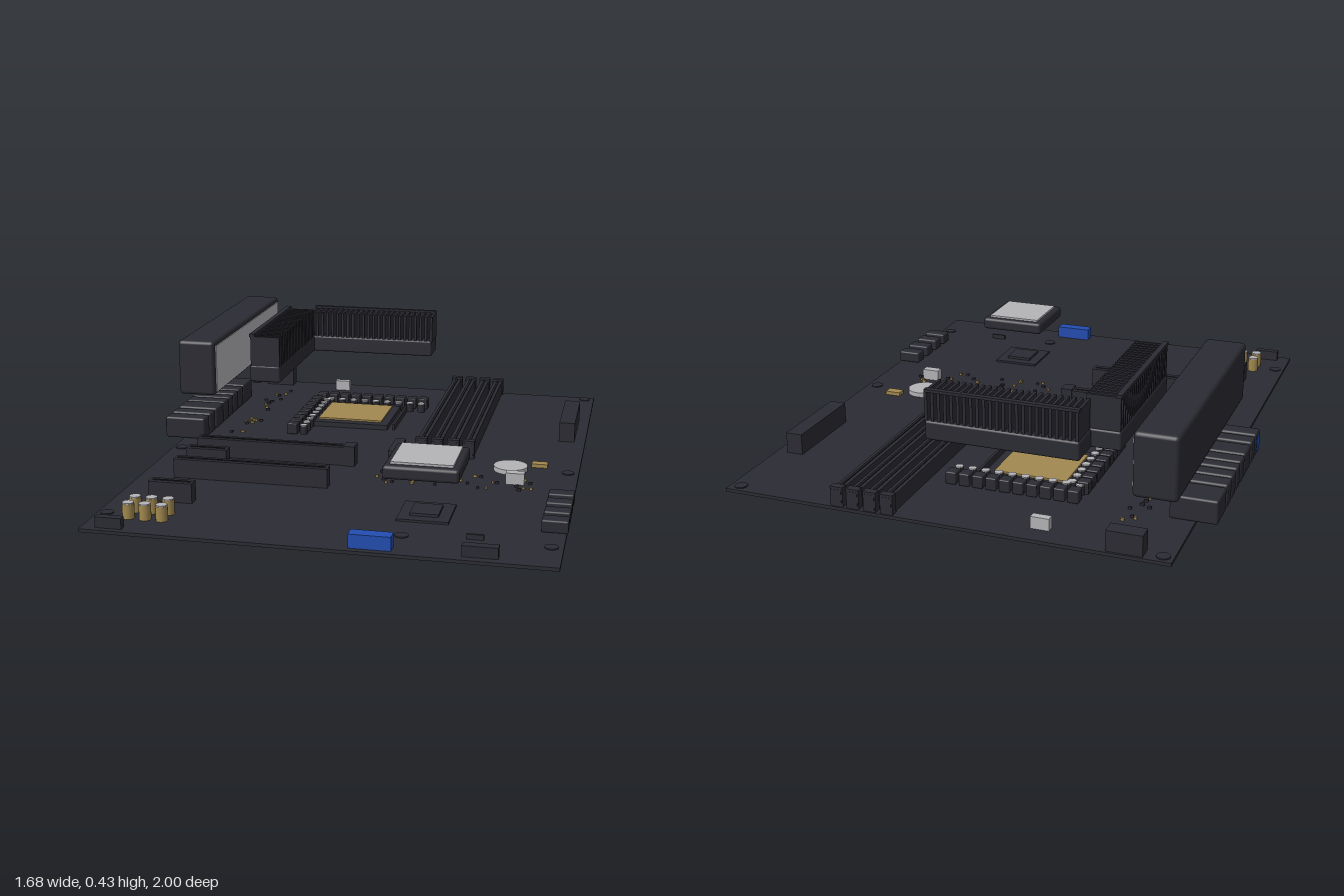
import * as THREE from 'three';
import { RoundedBoxGeometry } from 'three/addons/geometries/RoundedBoxGeometry.js';

const mat = (name, color) => Object.assign(new THREE.MeshStandardMaterial({ color }), { name });

export function createModel() {
  const root = new THREE.Group();
  root.name = 'mainboard';
  const graphite = mat('graphite', 0x2b2b33);
  const black = mat('black', 0x1c1c21);
  const silver = mat('silver', 0xb4b4b8);
  const gold = mat('gold', 0xa1884f);
  const blue = mat('blue', 0x234db0);
  const TOP = 0.012; // board surface

  const group = (name) => {
    const g = new THREE.Group();
    g.name = name;
    root.add(g);
    return g;
  };
  // Box given by its limits on each axis; r rounds the edges
  const box = (parent, name, m, [x0, x1], [y0, y1], [z0, z1], r = 0) => {
    const s = [x1 - x0, y1 - y0, z1 - z0];
    const geo = r ? new RoundedBoxGeometry(...s, 2, r) : new THREE.BoxGeometry(...s);
    const mesh = new THREE.Mesh(geo, m);
    mesh.name = name;
    mesh.position.set((x0 + x1) / 2, (y0 + y1) / 2, (z0 + z1) / 2);
    parent.add(mesh);
    return mesh;
  };
  const disc = (parent, name, m, x, z, r, y0, y1, sides = 20) => {
    const mesh = new THREE.Mesh(new THREE.CylinderGeometry(r, r, y1 - y0, sides), m);
    mesh.name = name;
    mesh.position.set(x, (y0 + y1) / 2, z);
    parent.add(mesh);
    return mesh;
  };

  // Circuit board and its mounting points
  box(root, 'circuitBoard', graphite, [-0.765, 0.83], [0, TOP], [-1, 1]);
  const mounts = group('mountingPoints');
  for (const [x, z] of [[-0.73, -0.965], [0.79, -0.965], [-0.73, 0.08], [0.3, 0.08],
    [0.79, 0.08], [-0.73, 0.835], [0.3, 0.835], [0.79, 0.835]])
    disc(mounts, 'mountingPoint', graphite, x, z, 0.023, TOP, TOP + 0.004);

  // Floating cover over the rear ports, with a pale inner face
  const cover = group('portCover');
  box(cover, 'coverShell', graphite, [-0.77, -0.622], [0.2, 0.42], [-0.967, -0.027], 0.014);
  box(cover, 'coverInnerFace', silver, [-0.625, -0.618], [0.212, 0.4], [-0.947, -0.047]);

  // Rear ports
  const ports = group('rearPorts');
  const portZ = [[-0.7, -0.58], [-0.565, -0.5], [-0.49, -0.435], [-0.42, -0.37],
    [-0.36, -0.3], [-0.29, -0.2], [-0.18, -0.12], [-0.105, -0.04]];
  for (const z of portZ) box(ports, 'rearPort', graphite, [-0.84, -0.675], [TOP, 0.098], z, 0.008);
  box(ports, 'bluePortFace', blue, [-0.842, -0.838], [0.025, 0.085], [-0.095, -0.05]);

  // Back heat sink: fins stand along x
  const sinkA = group('backHeatSink');
  box(sinkA, 'sinkBase', graphite, [-0.41, 0.135], [0.235, 0.303], [-0.845, -0.72], 0.008);
  for (let i = 0; i < 24; i++) {
    const x = -0.405 + i * 0.0231;
    box(sinkA, 'sinkFin', graphite, [x, x + 0.0105], [0.3, 0.408], [-0.84, -0.722]);
  }
  box(sinkA, 'sinkRail', graphite, [-0.41, 0.135], [0.405, 0.415], [-0.845, -0.825]);

  // Side heat sink: fins stand along z
  const sinkB = group('sideHeatSink');
  box(sinkB, 'sinkBase', graphite, [-0.512, -0.387], [0.235, 0.303], [-0.72, -0.15], 0.008);
  for (let i = 0; i < 24; i++) {
    const z = -0.715 + i * 0.0241;
    box(sinkB, 'sinkFin', graphite, [-0.508, -0.388], [0.3, 0.422], [z, z + 0.0105]);
  }
  box(sinkB, 'sinkRail', graphite, [-0.512, -0.492], [0.42, 0.432], [-0.72, -0.15]);

  // Processor socket with lever
  const socket = group('processorSocket');
  box(socket, 'socketFrame', graphite, [-0.31, 0.02], [TOP, 0.032], [-0.635, -0.32]);
  box(socket, 'contactPlate', gold, [-0.28, -0.012], [0.032, 0.039], [-0.598, -0.358]);
  box(socket, 'socketLever', graphite, [0.04, 0.05], [TOP, 0.035], [-0.62, -0.33]);

  // Power stage: chokes and capacitors around the socket
  const power = group('powerStage');
  const cap = (x, z, r, h, body) => {
    disc(power, 'capacitorBody', body, x, z, r, TOP, h);
    disc(power, 'capacitorTop', silver, x, z, r * 0.94, h, h + 0.004);
  };
  for (let i = 0; i < 10; i++) {
    const x = -0.34 + i * 0.05;
    box(power, 'choke', graphite, [x - 0.02, x + 0.02], [TOP, 0.058], [-0.705, -0.66], 0.004);
    cap(x, -0.625, 0.016, 0.046, graphite);
  }
  for (let i = 0; i < 9; i++) {
    const z = -0.605 + i * 0.05;
    box(power, 'choke', graphite, [-0.37, -0.328], [TOP, 0.058], [z - 0.02, z + 0.02], 0.004);
    cap(-0.305, z, 0.016, 0.046, graphite);
  }
  for (const x of [-0.64, -0.58, -0.52])
    for (const z of [0.8, 0.865]) cap(x, z, 0.021, 0.065, gold);

  // Memory slots
  const memory = group('memorySlots');
  for (const x of [0.215, 0.277, 0.34, 0.4]) {
    box(memory, 'memorySlot', graphite, [x - 0.018, x + 0.018], [TOP, 0.074], [-0.995, -0.015]);
    box(memory, 'memoryGroove', black, [x - 0.005, x + 0.005], [0.074, 0.077], [-0.965, -0.045]);
    for (const z of [-0.98, -0.03])
      box(memory, 'memoryLatch', graphite, [x - 0.023, x + 0.023], [TOP, 0.083], [z - 0.014, z + 0.014]);
  }

  // Expansion slots
  const slots = group('expansionSlots');
  for (const [x1, z] of [[-0.05, 0.143], [-0.475, 0.273], [-0.05, 0.41], [-0.475, 0.667]]) {
    box(slots, 'expansionSlot', graphite, [-0.635, x1], [TOP, 0.084], [z - 0.023, z + 0.023]);
    box(slots, 'expansionGroove', black, [-0.625, x1 - 0.01], [0.084, 0.086], [z - 0.005, z + 0.005]);
  }
  box(slots, 'slotLatch', graphite, [-0.052, -0.008], [TOP, 0.09], [0.115, 0.171]);

  // Chipset and its floating heat sink
  const chipset = group('chipset');
  box(chipset, 'chipsetCarrier', graphite, [0.255, 0.435], [TOP, 0.02], [0.52, 0.705]);
  box(chipset, 'chipsetDie', graphite, [0.295, 0.395], [0.02, 0.03], [0.56, 0.665]);
  box(chipset, 'chipsetSink', graphite, [0.215, 0.475], [0.172, 0.22], [0.48, 0.748], 0.012);
  box(chipset, 'chipsetSinkPlate', silver, [0.238, 0.452], [0.219, 0.228], [0.503, 0.722]);

  // Drive ports on the edge
  const drives = group('drivePorts');
  for (const z of [0.415, 0.505, 0.595, 0.68])
    box(drives, 'drivePort', graphite, [0.745, 0.835], [TOP, 0.056], [z - 0.028, z + 0.028], 0.006);

  // Connectors and headers
  const headers = group('headers');
  box(headers, 'mainPowerConnector', graphite, [0.725, 0.787], [TOP, 0.09], [-0.655, -0.318]);
  box(headers, 'processorPowerConnector', graphite, [-0.67, -0.547], [TOP, 0.085], [-0.992, -0.935]);
  box(headers, 'cardConnector', graphite, [0.1, 0.14], [TOP, 0.05], [-0.1, 0.065]);
  box(headers, 'blueHeader', blue, [0.15, 0.292], [TOP, 0.06], [0.93, 0.977]);
  box(headers, 'leftHeader', graphite, [-0.715, -0.622], [TOP, 0.05], [0.95, 0.978]);
  box(headers, 'rightHeader', graphite, [0.517, 0.635], [TOP, 0.05], [0.94, 0.972]);
  box(headers, 'smallHeader', graphite, [0.512, 0.57], [TOP, 0.03], [0.81, 0.82]);
  box(headers, 'fanHeader', silver, [-0.335, -0.27], [TOP, 0.055], [-0.925, -0.897]);
  box(headers, 'fanHeader', silver, [0.575, 0.643], [TOP, 0.055], [0.215, 0.25]);

  // Battery and small gold parts
  const small = group('smallParts');
  disc(small, 'battery', silver, 0.575, 0.08, 0.064, TOP, 0.03, 32);
  box(small, 'crystal', gold, [0.65, 0.71], [TOP, 0.026], [0, 0.037]);
  disc(small, 'goldContact', gold, -0.43, -0.02, 0.015, TOP, 0.026);
  let seed = 7;
  const rand = (a, b) => {
    seed = (seed * 16807) % 2147483647;
    return a + (b - a) * (seed / 2147483647);
  };
  for (let i = 0; i < 50; i++) {
    const x = i < 20 ? rand(-0.6, -0.52) : rand(0.1, 0.7);
    const z = i < 20 ? rand(-0.86, -0.1) : rand(0.17, 0.33);
    const w = rand(0.004, 0.008);
    box(small, 'resistor', i % 2 ? gold : graphite, [x - w, x + w], [TOP, 0.02], [z - 0.005, z + 0.005]);
  }
  return root;
}
